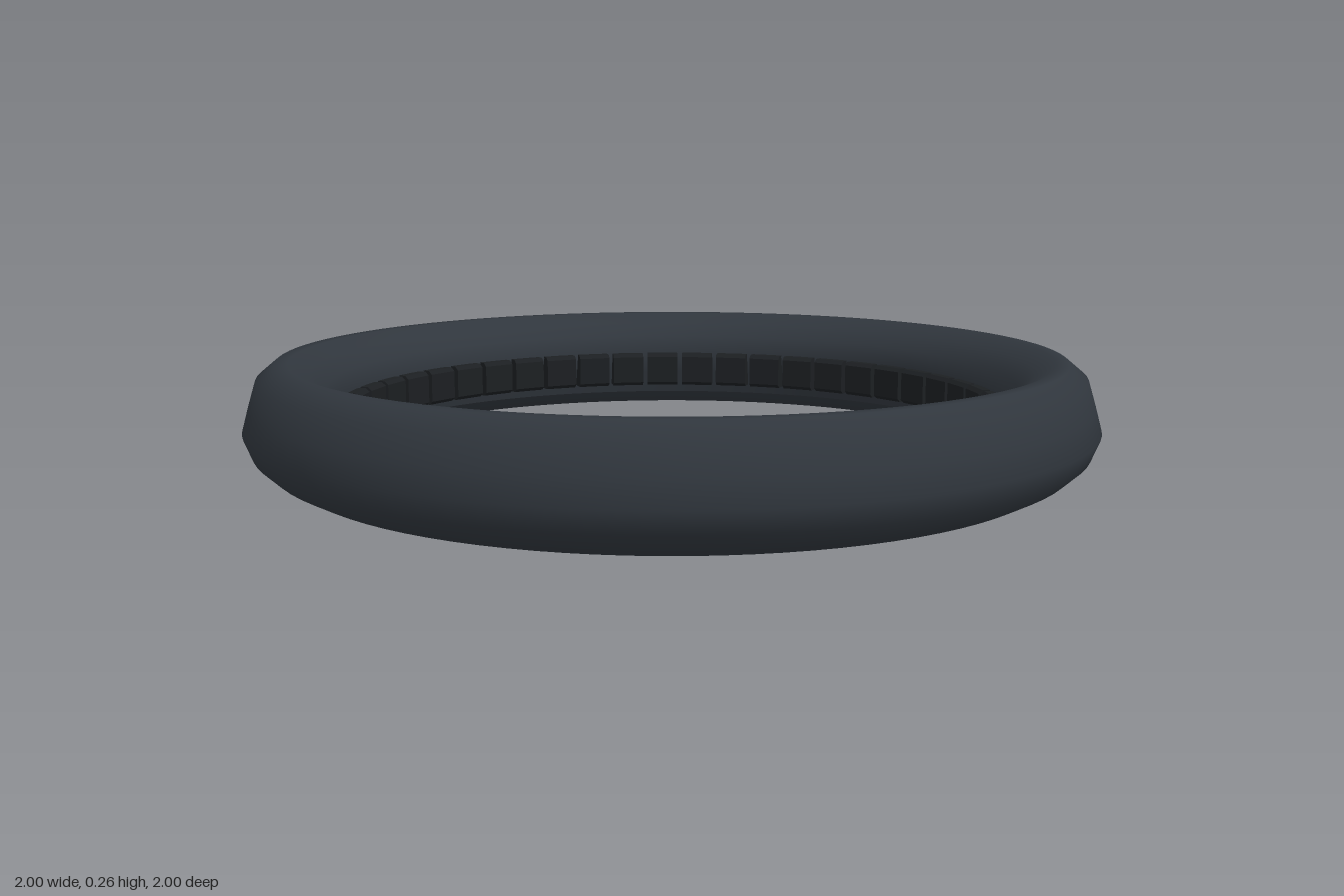
import * as THREE from 'three';

const SEGMENTS = 48;

// Tilted oval cross-section, point-symmetric about its centre
function ringProfile() {
  const c = new THREE.Vector2(0.895, 0.13);
  const half = [
    [0.09, 0.035], [0.105, -0.02], [0.085, -0.07],
    [0.047, -0.105], [0.0, -0.13], [-0.03, -0.13], [-0.072, -0.095],
  ];
  const at = (s) => ([x, y]) => new THREE.Vector2(c.x + s * x, c.y + s * y);
  // counter-clockwise, with the seam hidden behind the pads
  const loop = [...half.map(at(1)), ...half.map(at(-1))].reverse();
  const seam = 7;
  const pts = [...loop.slice(seam), ...loop.slice(0, seam)];
  pts.push(pts[0].clone());
  return pts;
}

// Small block whose inward face (-x) is bevelled at top and bottom
function padGeometry() {
  const inner = 0.76, outer = 0.825;
  const geo = new THREE.BoxGeometry(outer - inner, 0.092, 0.087, 2, 1, 1);
  geo.translate((inner + outer) / 2, 0, 0);
  const p = geo.attributes.position;
  for (let i = 0; i < p.count; i++) {
    if (p.getX(i) < inner + 0.001) p.setY(i, p.getY(i) * 0.8);
    else if (p.getX(i) < outer - 0.001) p.setX(i, inner + 0.01);
  }
  const flat = geo.toNonIndexed();
  flat.computeVertexNormals();
  return flat;
}

export function createModel() {
  const model = new THREE.Group();
  model.name = 'segmentedRing';

  const ringMaterial = new THREE.MeshStandardMaterial({ color: 0x30363d });
  const padMaterial = new THREE.MeshStandardMaterial({ color: 0x1c1f22 });

  // Main ring
  const ring = new THREE.Mesh(new THREE.LatheGeometry(ringProfile(), 96), ringMaterial);
  ring.name = 'ring';
  model.add(ring);

  // Row of pads around the inside
  const pads = new THREE.Group();
  pads.name = 'innerPads';
  const geo = padGeometry();
  for (let i = 0; i < SEGMENTS; i++) {
    const pad = new THREE.Mesh(geo, padMaterial);
    pad.name = 'innerPad';
    pad.position.y = 0.108;
    pad.rotation.y = (i / SEGMENTS) * Math.PI * 2;
    pads.add(pad);
  }
  model.add(pads);

  return model;
}
